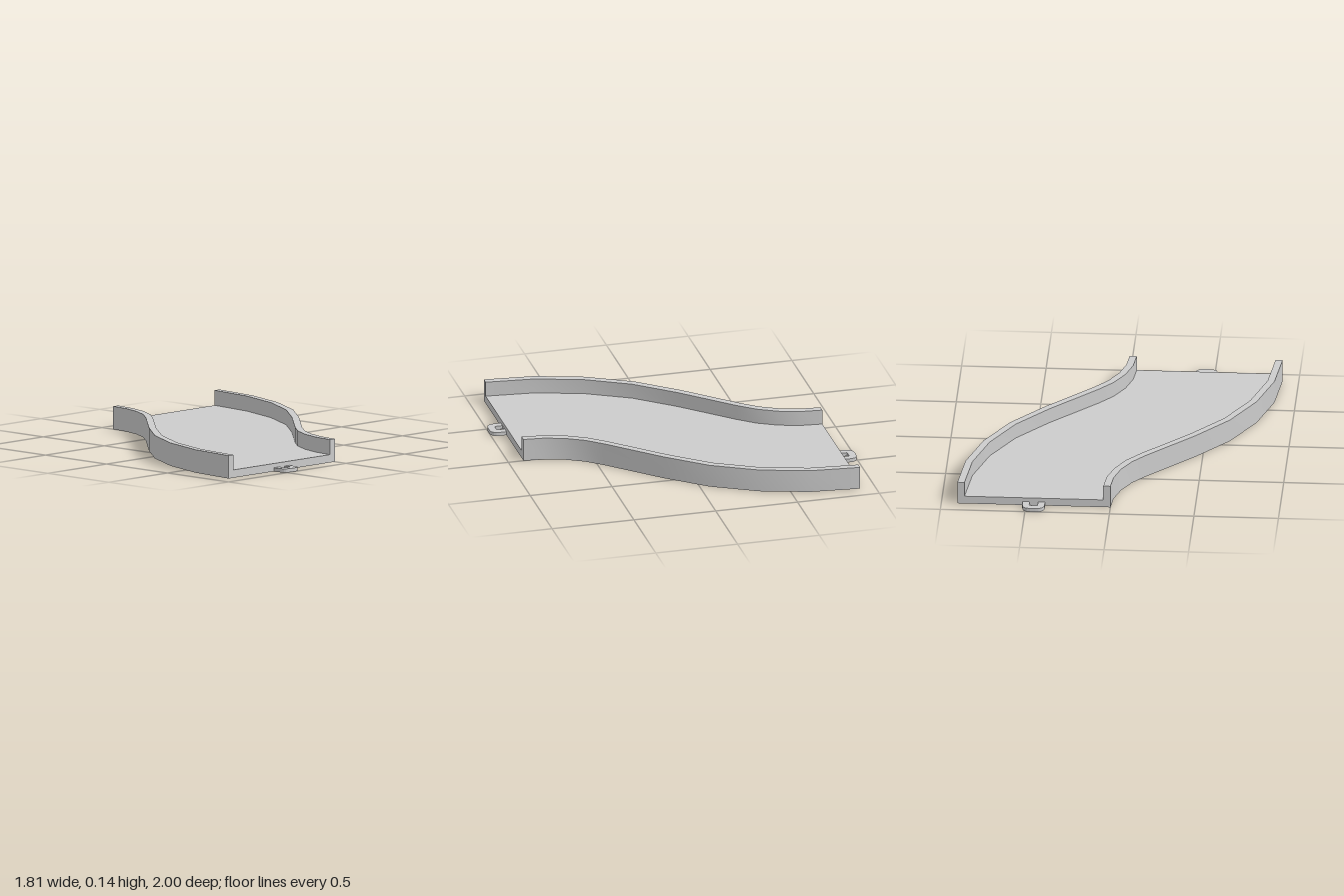
import * as THREE from 'three';

const END = 0.908;          // z of the channel ends
const MID = 0.4525;         // x of the channel centre at each end, also half width
const R = 1.08;             // bend radius of the centre line
const H = 0.137, FLOOR = 0.047, WALL = 0.042;
const STEPS = 4;            // facets per bend

const material = new THREE.MeshStandardMaterial({ color: 0xcccccc });

// Channel profile, counter-clockwise: [sideways offset, height]
const profile = [
  [-MID, 0], [MID, 0], [MID, H], [MID - WALL, H],
  [MID - WALL, FLOOR], [-MID + WALL, FLOOR], [-MID + WALL, H], [-MID, H],
];

// Point at station i of the S-bend: first bend, short straight, mirrored bend
function pathPoint(i, offset, y) {
  const first = i <= STEPS;
  const a = (first ? i : 2 * STEPS + 1 - i) / STEPS * Math.PI / 4;
  const s = first ? 1 : -1;
  const r = R - s * offset;
  return [s * (R - MID - r * Math.cos(a)), y, s * (END - r * Math.sin(a))];
}

// One side of the profile swept along the path
function strip(a, b) {
  const positions = [], index = [];
  const last = 2 * STEPS + 1;
  for (let i = 0; i <= last; i++) {
    positions.push(...pathPoint(i, ...a), ...pathPoint(i, ...b));
    if (i < last) {
      const k = i * 2;
      index.push(k, k + 2, k + 1, k + 1, k + 2, k + 3);
    }
  }
  const g = new THREE.BufferGeometry();
  g.setAttribute('position', new THREE.Float32BufferAttribute(positions, 3));
  g.setIndex(index);
  g.computeVertexNormals();
  return g;
}

// Flat connector loop with rounded outer corners and a square hole
function loopGeometry() {
  const w = 0.066, d = 0.092, c = 0.05;
  const s = new THREE.Shape();
  s.moveTo(-w, 0);
  s.lineTo(w, 0);
  s.lineTo(w, d - c);
  s.quadraticCurveTo(w, d, w - c, d);
  s.lineTo(-w + c, d);
  s.quadraticCurveTo(-w, d, -w, d - c);
  s.closePath();
  const hole = new THREE.Path();
  hole.moveTo(-0.025, 0.001);
  hole.lineTo(-0.025, 0.048);
  hole.lineTo(0.025, 0.048);
  hole.lineTo(0.025, 0.001);
  hole.closePath();
  s.holes.push(hole);
  const g = new THREE.ExtrudeGeometry(s, { depth: 0.022, bevelEnabled: false, curveSegments: 5 });
  // Lay flat, pointing along +z
  return g.rotateX(Math.PI / 2).translate(0, 0.022, 0);
}

export function createModel() {
  const model = new THREE.Group();
  model.name = 'curvedTrack';

  // Channel sides
  const channel = new THREE.Group();
  channel.name = 'channel';
  const names = ['underside', 'leftWallOutside', 'leftWallTop', 'leftWallInside',
    'floor', 'rightWallInside', 'rightWallTop', 'rightWallOutside'];
  names.forEach((name, i) => {
    const mesh = new THREE.Mesh(strip(profile[i], profile[(i + 1) % profile.length]), material);
    mesh.name = name;
    channel.add(mesh);
  });
  model.add(channel);

  // End faces and connector loops, the rear ones turned half round
  const capGeometry = new THREE.ShapeGeometry(
    new THREE.Shape(profile.map(([x, y]) => new THREE.Vector2(x, y))));
  const loop = loopGeometry();
  for (const s of [1, -1]) {
    const end = new THREE.Group();
    end.name = s > 0 ? 'frontEnd' : 'rearEnd';
    const cap = new THREE.Mesh(capGeometry, material);
    cap.name = 'endFace';
    const connector = new THREE.Mesh(loop, material);
    connector.name = 'connectorLoop';
    end.add(cap, connector);
    end.position.set(-s * MID, 0, s * END);
    if (s < 0) end.rotation.y = Math.PI;
    model.add(end);
  }
  return model;
}
